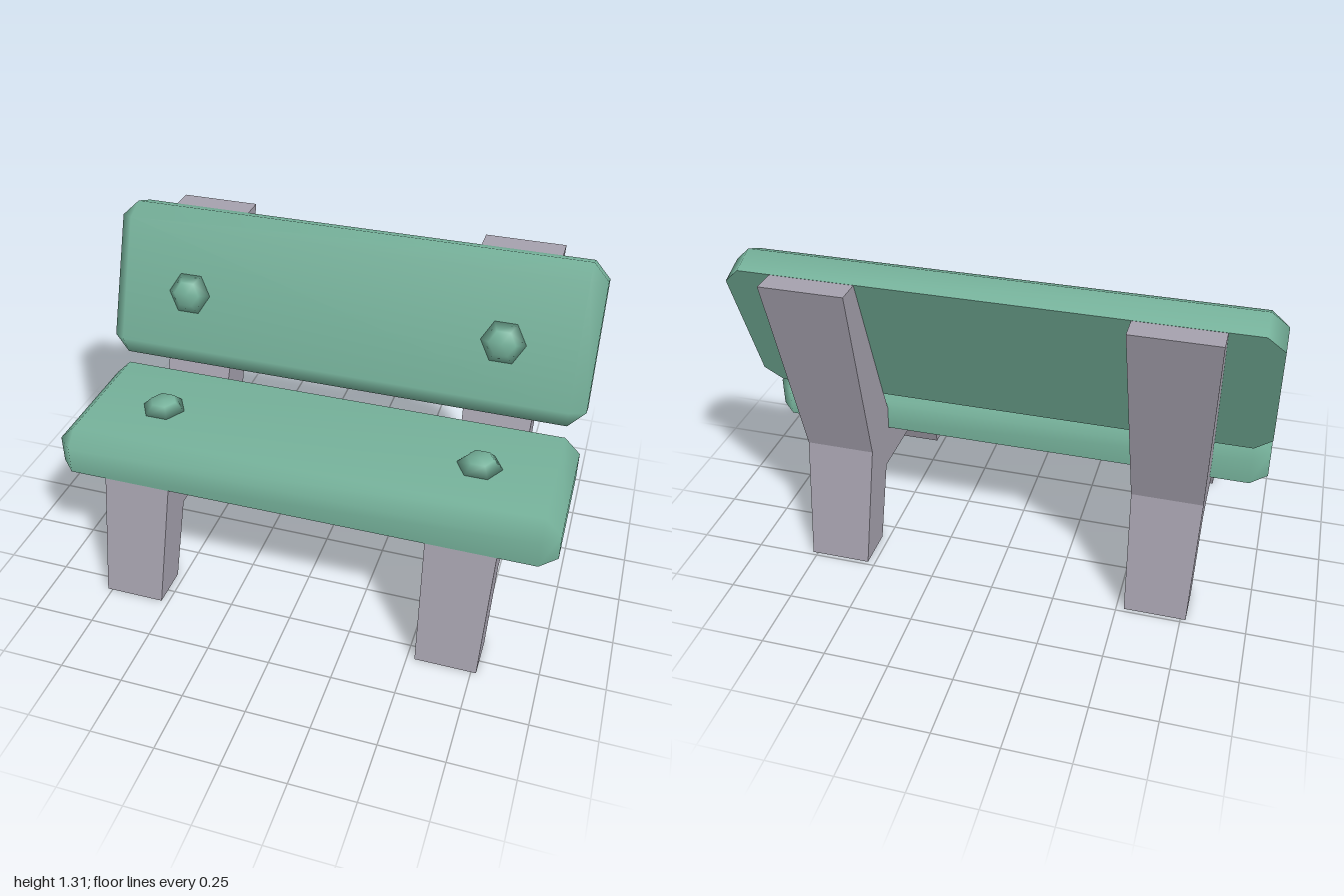
import * as THREE from 'three';
import { mergeVertices } from 'three/addons/utils/BufferGeometryUtils.js';

const green = new THREE.MeshStandardMaterial({ color: 0x76b29b });
green.name = 'green paint';
const grey = new THREE.MeshStandardMaterial({ color: 0xa6a2ae });
grey.name = 'grey stone';

function named(geometry, material, name) {
  const mesh = new THREE.Mesh(geometry, material);
  mesh.name = name;
  return mesh;
}

// Plank with a flat base, bevelled top edges and cut corners, smooth shaded
function plankGeometry(w, h, d, bevel) {
  const x = w / 2, z = d / 2, b = bevel;
  // counter-clockwise from above, two points per corner
  const outline = [[x, z - b], [x, b - z], [x - b, -z], [b - x, -z], [-x, b - z], [-x, z - b], [b - x, z], [x - b, z]];
  const top = [[x - b, z - b], [x - b, b - z], [b - x, b - z], [b - x, z - b]];
  const pos = [], idx = [];
  const ring = (pts, y) => pts.forEach(([px, pz]) => pos.push(px, y, pz));
  ring(outline, 0);      // 0-7 lower side edge
  ring(outline, h - b);  // 8-15 upper side edge
  ring(top, h);          // 16-19 top face
  ring(outline, 0);      // 20-27 base, kept separate for a sharp edge
  for (let i = 0; i < 8; i++) {
    const j = (i + 1) % 8;
    idx.push(i, j, 8 + j, i, 8 + j, 8 + i);
  }
  for (let c = 0; c < 4; c++) {
    // outline points on either side of the edge from corner c to corner c + 1
    const n = (c + 1) % 4, p = 8 + 2 * c, q = 8 + (2 * c + 1) % 8;
    idx.push(p, q, 16 + n, p, 16 + n, 16 + c);
    // corner triangle
    idx.push(q, 8 + (2 * c + 2) % 8, 16 + n);
  }
  idx.push(16, 17, 18, 16, 18, 19);
  for (let i = 1; i < 7; i++) idx.push(20, 20 + i + 1, 20 + i);
  const g = new THREE.BufferGeometry();
  g.setAttribute('position', new THREE.Float32BufferAttribute(pos, 3));
  g.setIndex(idx);
  g.computeVertexNormals();
  return g;
}

// Six-sided tapered bolt head with softened shading
function boltGeometry() {
  let g = new THREE.CylinderGeometry(0.053, 0.09, 0.037, 6, 1, false, Math.PI / 6);
  g.deleteAttribute('normal');
  g.deleteAttribute('uv');
  g = mergeVertices(g);
  g.computeVertexNormals();
  return g;
}

// Leg and back post in one piece, widening towards the top
function supportGeometry() {
  const profile = [
    [0.565, 0], [0.44, 0.48], [-0.2, 0.48], [-0.2, 0.575], [-0.47, 1.265], [-0.565, 1.265],
    [-0.38, 0.48], [-0.485, 0], [-0.32, 0], [-0.24, 0.32], [0.305, 0.32], [0.4, 0]
  ];
  const shape = new THREE.Shape(profile.map(([z, y]) => new THREE.Vector2(z, y)));
  const g = new THREE.ExtrudeGeometry(shape, { depth: 1, bevelEnabled: false });
  g.translate(0, 0, -0.5);
  g.rotateY(-Math.PI / 2);
  const p = g.attributes.position;
  for (let i = 0; i < p.count; i++) p.setX(i, p.getX(i) * (0.24 + 0.063 * p.getY(i)));
  g.computeVertexNormals();
  return g;
}

export function createModel() {
  const bench = new THREE.Group();
  bench.name = 'bench';
  const plank = plankGeometry(2, 0.175, 0.64, 0.065);
  const bolt = boltGeometry();
  const support = supportGeometry();

  // Seat and backrest share one plank with two bolts
  const addBoard = (name, y, z, tilt) => {
    const board = new THREE.Group();
    board.name = name;
    board.add(named(plank, green, name + 'Plank'));
    for (const s of [-1, 1]) {
      const head = named(bolt, green, name + (s > 0 ? 'LeftBolt' : 'RightBolt'));
      head.position.set(s * 0.65, 0.1925, 0.022);
      board.add(head);
    }
    board.position.set(0, y, z);
    board.rotation.x = tilt;
    bench.add(board);
  };
  addBoard('seat', 0.48, 0.12, 0);
  addBoard('backrest', 0.9675, -0.355, 1.202);

  // Supports
  for (const s of [-1, 1]) {
    const frame = named(support, grey, s > 0 ? 'leftSupport' : 'rightSupport');
    frame.position.x = s * 0.65;
    bench.add(frame);
  }
  return bench;
}
